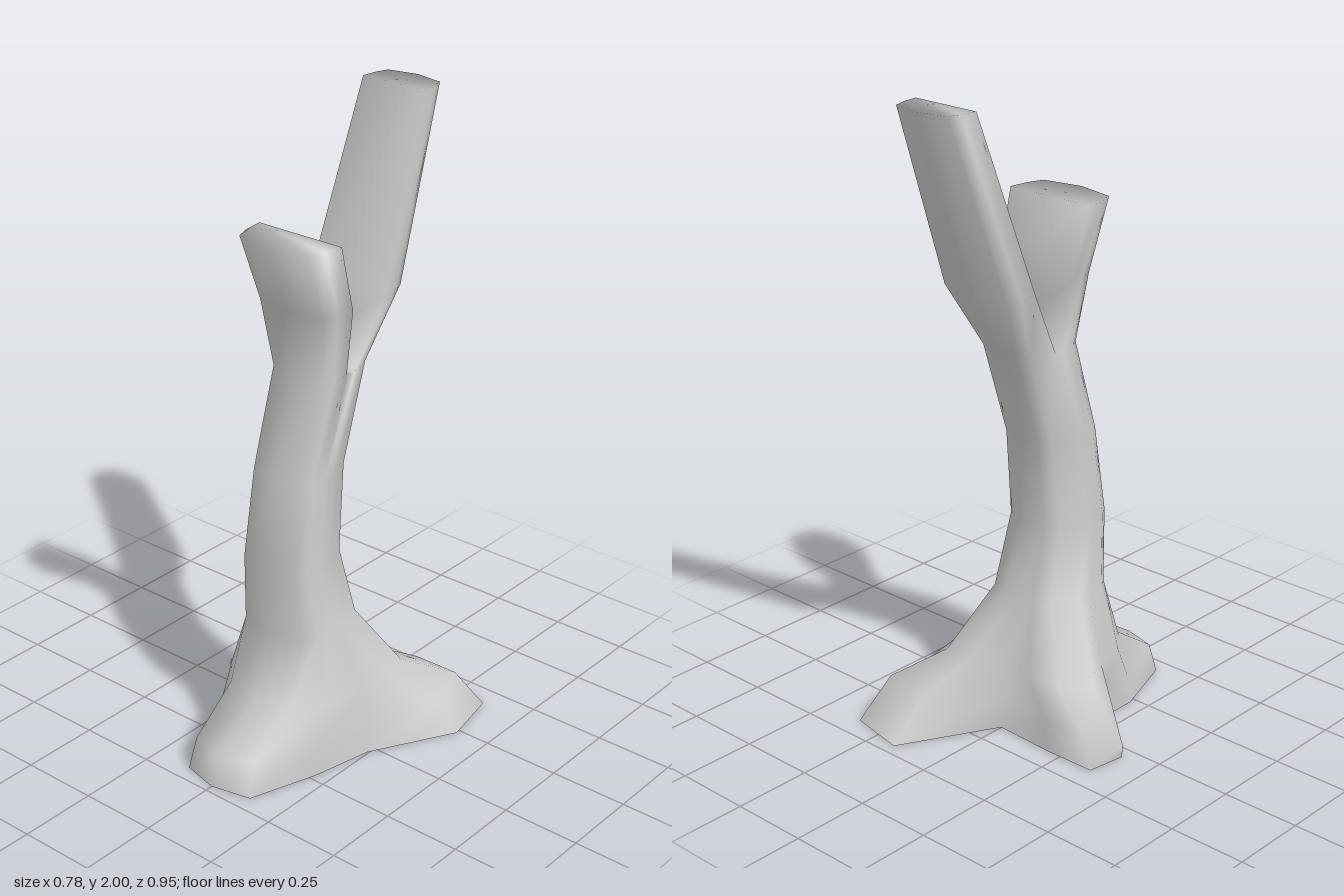
import * as THREE from 'three';

export function createModel() {
  const group = new THREE.Group();
  const pos = [], index = [];

  const addRing = pts => pts.map(p => pos.push(...p) / 3 - 1);

  // Join two loops that run counter-clockwise seen from above
  const bridge = (lower, upper) => {
    const n = lower.length;
    for (let i = 0; i < n; i++) {
      const j = (i + 1) % n;
      index.push(lower[i], lower[j], upper[j], lower[i], upper[j], upper[i]);
    }
  };
  const cap = loop => {
    for (let i = 1; i < loop.length - 1; i++) index.push(loop[0], loop[i], loop[i + 1]);
  };

  // Roots: ground outline, knuckles and collar, each point [x, y, z]
  const rootRings = [
    [[0, 0, 0.475], [0.13, 0, 0.447], [0.203, 0, 0.23], [0.245, 0, 0.03], [0.392, 0, -0.235],
      [0.355, 0, -0.425], [0.165, 0, -0.462], [0, 0, -0.16], [-0.2, 0, -0.17], [-0.37, 0, -0.167],
      [-0.39, 0, -0.045], [-0.193, 0, 0.1], [-0.193, 0, 0.23], [-0.12, 0, 0.447]],
    [[0, 0.1, 0.45], [0.115, 0.1, 0.42], [0.2, 0.1, 0.215], [0.238, 0.1, 0.03], [0.335, 0.1, -0.2],
      [0.305, 0.14, -0.335], [0.15, 0.135, -0.34], [0, 0.1, -0.155], [-0.18, 0.1, -0.16], [-0.345, 0.08, -0.155],
      [-0.393, 0.04, -0.045], [-0.2, 0.1, 0.09], [-0.197, 0.1, 0.21], [-0.11, 0.1, 0.42]],
    [[0, 0.215, 0.272], [0.115, 0.215, 0.252], [0.19, 0.215, 0.17], [0.222, 0.21, 0.03], [0.238, 0.21, -0.1],
      [0.2, 0.215, -0.19], [0.1, 0.215, -0.2], [0, 0.22, -0.15], [-0.1, 0.21, -0.145], [-0.21, 0.2, -0.13],
      [-0.285, 0.2, -0.05], [-0.215, 0.21, 0.06], [-0.198, 0.215, 0.16], [-0.12, 0.215, 0.25]],
  ];

  // Trunk cross-section, scaled to half width and depth at each height
  const section = [[0, 1], [0.78, 0.82], [0.95, 0.55], [1, 0.15], [1, -0.15], [0.78, -0.82], [0.4, -0.92],
    [0, -1], [-0.4, -0.92], [-0.78, -0.82], [-1, -0.15], [-1, 0.15], [-0.95, 0.55], [-0.78, 0.82]];
  // Height, half width, front z, back z
  const trunk = [[0.42, 0.147, 0.21, -0.09], [0.65, 0.125, 0.227, -0.03],
    [0.93, 0.116, 0.185, -0.055], [1.23, 0.118, 0.092, -0.15]];
  const trunkRings = trunk.map(([y, w, front, back]) => section.map(([u, v]) =>
    [u * w, y, (front + back) / 2 + v * (front - back) / 2]));

  const rings = [...rootRings, ...trunkRings].map(addRing);
  for (let i = 0; i < rings.length - 1; i++) bridge(rings[i], rings[i + 1]);

  // Fork: the last ring splits into a front loop and a back loop
  const top = rings[rings.length - 1];
  index.push(top[11], top[3], top[4], top[11], top[4], top[10]);

  // Branch cross-section: flat on the inner side, rounded on the outer
  const half = [[-1, 0], [-0.95, 0.45], [-0.83, 0.82], [0, 1], [0.83, 0.82], [0.95, 0.45], [1, 0]];
  const addBranch = (start, side, levels) => {
    let loop = start;
    for (const [y, w, inner, outer] of levels) {
      const next = addRing(half.map(([u, v]) => [u * w * side, y, inner + v * (outer - inner)]));
      bridge(loop, next);
      loop = next;
    }
    cap(loop);
  };
  // Height, half width, inner z, outer z
  addBranch([11, 12, 13, 0, 1, 2, 3].map(i => top[i]), 1,
    [[1.44, 0.143, -0.007, 0.118], [1.655, 0.153, 0.057, 0.197]]);
  addBranch([4, 5, 6, 7, 8, 9, 10].map(i => top[i]), -1,
    [[1.44, 0.143, -0.16, -0.278], [2, 0.115, -0.362, -0.474]]);

  const geometry = new THREE.BufferGeometry();
  geometry.setAttribute('position', new THREE.Float32BufferAttribute(pos, 3));
  geometry.setIndex(index);
  geometry.computeVertexNormals();

  // The underside is open
  const tree = new THREE.Mesh(geometry,
    new THREE.MeshStandardMaterial({ color: 0xcccccc, side: THREE.DoubleSide }));
  tree.name = 'forkedTreeTrunk';
  group.add(tree);
  return group;
}
